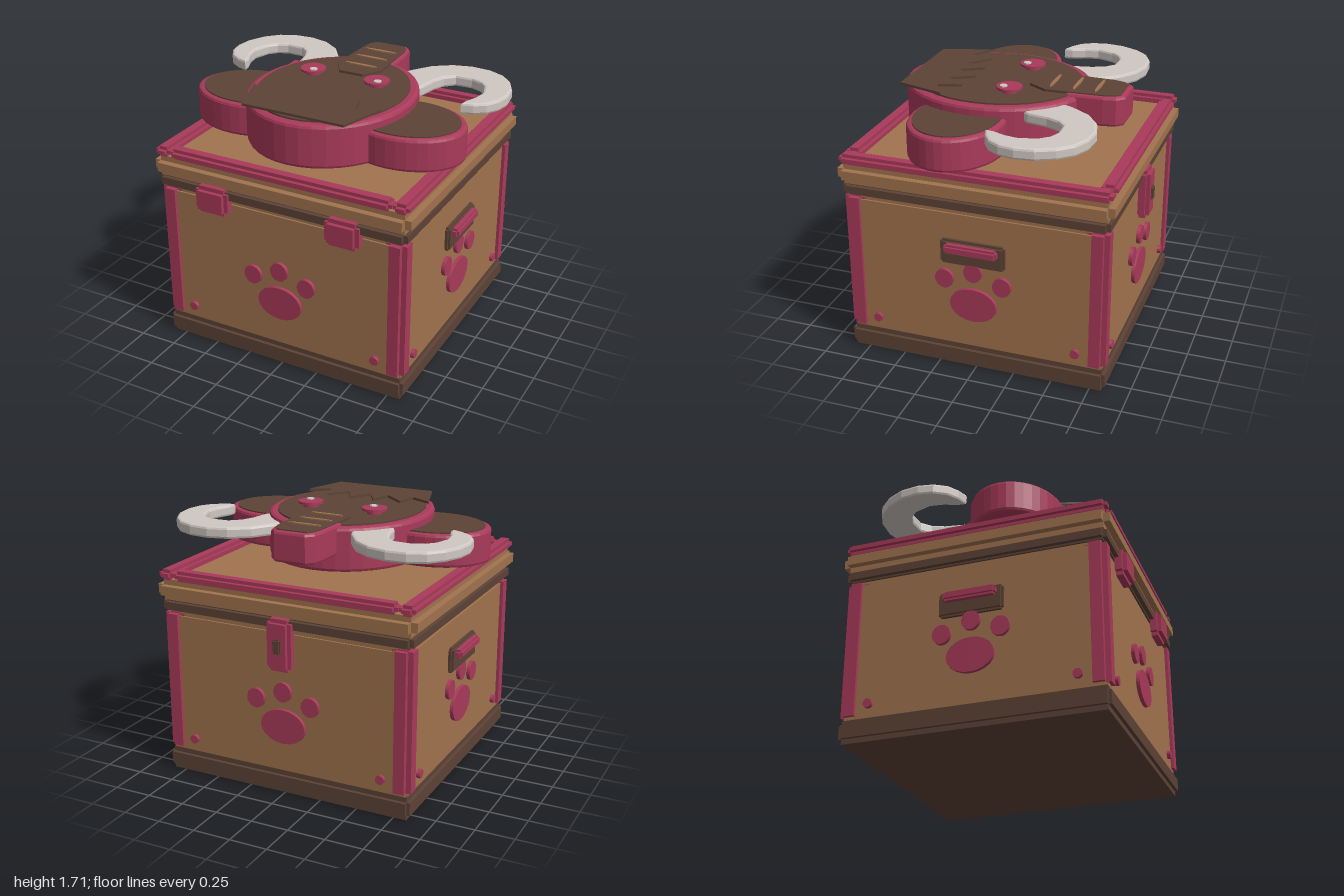
import * as THREE from 'three';

const mat = (name, color) => {
  const m = new THREE.MeshStandardMaterial({ color });
  m.name = name;
  return m;
};

export function createModel() {
  const tan = mat('tan wood', 0xa1734e);
  const dark = mat('dark brown', 0x5d4337);
  const red = mat('raspberry', 0xa93a5a);
  const ivory = mat('ivory', 0xcfc7c2);

  const model = new THREE.Group();
  model.name = 'chest';

  const add = (parent, name, geometry, material) => {
    const mesh = new THREE.Mesh(geometry, material);
    mesh.name = name;
    parent.add(mesh);
    return mesh;
  };

  // Block with stepped edges: three boxes, each full size along one axis
  const block = (parent, name, material, [w, h, d], [x, y, z], b, by = b) => {
    const g = new THREE.Group();
    g.name = name;
    g.position.set(x, y, z);
    const sizes = [
      [w, h - 2 * by, d - 2 * b],
      [w - 2 * b, h, d - 2 * b],
      [w - 2 * b, h - 2 * by, d],
    ];
    sizes.forEach((s, i) => add(g, name + 'Layer' + (i + 1), new THREE.BoxGeometry(...s), material));
    parent.add(g);
    return g;
  };

  // Horizontal slab from an outline of [x, z] points, between two heights
  const slab = (parent, name, material, points, y0, y1, bevel = 0) => {
    const shape = new THREE.Shape(points.map(([x, z]) => new THREE.Vector2(x, -z)));
    const geo = new THREE.ExtrudeGeometry(shape, {
      depth: y1 - y0 - 2 * bevel,
      bevelEnabled: bevel > 0,
      bevelThickness: bevel,
      bevelSize: bevel,
      bevelOffset: -bevel,
      bevelSegments: 2,
    });
    geo.rotateX(-Math.PI / 2).translate(0, y0 + bevel, 0);
    return add(parent, name, geo, material);
  };

  const ellipse = (cx, cz, rx, rz, n = 40) =>
    Array.from({ length: n }, (_, i) => {
      const a = (i / n) * Math.PI * 2;
      return [cx + rx * Math.cos(a), cz + rz * Math.sin(a)];
    });

  // The box itself is built around its own centre
  const box = new THREE.Group();
  box.name = 'box';
  box.position.z = 0.01;
  model.add(box);

  block(box, 'base', dark, [1.715, 0.152, 1.715], [0, 0.076, 0], 0.022, 0.033);
  block(box, 'body', tan, [1.67, 1.08, 1.67], [0, 0.56, 0], 0.012, 0.03);
  block(box, 'band', dark, [1.726, 0.075, 1.726], [0, 1.137, 0], 0.028, 0.012);
  block(box, 'lid', tan, [1.776, 0.135, 1.776], [0, 1.24, 0], 0.042, 0.037);

  for (const s of [-1, 1]) {
    // Corner posts
    for (const t of [-1, 1]) {
      block(box, 'cornerPost', red, [0.138, 0.925, 0.138], [s * 0.788, 0.628, t * 0.788], 0.033, 0.008);
    }
    // Lid rim
    block(box, 'sideRim', red, [0.105, 0.068, 1.745], [s * 0.822, 1.336, 0], 0.025, 0.022);
    block(box, 'endRim', red, [1.53, 0.068, 0.105], [0, 1.336, s * 0.822], 0.025, 0.022);
    // Side handles
    block(box, 'handlePlate', dark, [0.06, 0.165, 0.42], [s * 0.837, 0.818, 0], 0.014);
    block(box, 'handleBar', red, [0.075, 0.06, 0.345], [s * 0.872, 0.855, 0], 0.014);
    // Front hinges
    block(box, 'hinge', red, [0.23, 0.18, 0.1], [s * 0.455, 1.09, 0.857], 0.027);
  }

  // Back clasp and keyhole
  block(box, 'clasp', red, [0.166, 0.335, 0.09], [0, 1.007, -0.866], 0.025);
  block(box, 'keyhole', dark, [0.054, 0.095, 0.03], [0, 1.007, -0.911], 0.009);

  // Paw prints and rivets on all four walls
  const button = (parent, name, x, y, rx, ry) => {
    const geo = new THREE.CylinderGeometry(1, 1, 0.04, 20);
    geo.rotateX(Math.PI / 2).scale(rx, ry, 1).translate(x, y, 0.839);
    add(parent, name, geo, red);
  };
  for (let i = 0; i < 4; i++) {
    const wall = new THREE.Group();
    wall.name = 'wallDetails';
    wall.rotation.y = (i * Math.PI) / 2;
    button(wall, 'pawPad', 0, 0.46, 0.154, 0.114);
    button(wall, 'pawToe', 0, 0.69, 0.06, 0.064);
    for (const s of [-1, 1]) {
      button(wall, 'pawToe', s * 0.19, 0.622, 0.06, 0.064);
      button(wall, 'rivet', s * 0.664, 0.241, 0.029, 0.029);
    }
    box.add(wall);
  }

  // Animal head lying on the lid
  const head = new THREE.Group();
  head.name = 'headOrnament';
  model.add(head);

  slab(head, 'head', red, ellipse(0, 0.14, 0.53, 0.605), 1.372, 1.657, 0.022);
  slab(head, 'facePlate', dark, ellipse(0, 0.14, 0.473, 0.55), 1.65, 1.667);

  // Trunk, its top plate and the three wrinkles
  slab(head, 'trunk', red, [
    [-0.172, -0.36], [-0.165, -0.6], [-0.15, -0.68], [-0.105, -0.726],
    [0.105, -0.726], [0.15, -0.68], [0.165, -0.6], [0.172, -0.36],
  ], 1.48, 1.676, 0.018);
  slab(head, 'trunkPlate', dark, [
    [-0.085, -0.1], [-0.16, -0.22], [-0.145, -0.6], [-0.13, -0.66], [-0.1, -0.695],
    [0.1, -0.695], [0.13, -0.66], [0.145, -0.6], [0.16, -0.22], [0.085, -0.1],
  ], 1.667, 1.683);
  for (const z of [-0.535, -0.393, -0.242]) {
    slab(head, 'trunkWrinkle', tan, ellipse(0, z, 0.117, 0.012, 14), 1.683, 1.691);
  }

  // Jagged jaw
  slab(head, 'jaw', dark, [
    [-0.445, 0.365], [-0.305, 0.44], [-0.27, 0.295], [-0.13, 0.42], [-0.085, 0.272],
    [0, 0.42], [0.085, 0.272], [0.165, 0.42], [0.265, 0.292], [0.31, 0.44],
    [0.445, 0.367], [0.355, 0.675], [-0.345, 0.675],
  ], 1.672, 1.688);

  // Tusk outline, outer edge from root to tip, then back along the inner edge
  const tusk = [
    [0.2, -0.28], [0.27, -0.44], [0.36, -0.57], [0.48, -0.655], [0.61, -0.69],
    [0.74, -0.68], [0.85, -0.63], [0.93, -0.545], [0.985, -0.43], [1, -0.31],
    [0.98, -0.21], [0.93, -0.13], [0.86, -0.085], [0.785, -0.06],
    [0.79, -0.115], [0.825, -0.2], [0.84, -0.29], [0.805, -0.4], [0.76, -0.45],
    [0.69, -0.478], [0.58, -0.473], [0.52, -0.42], [0.485, -0.34], [0.46, -0.21], [0.4, -0.1],
  ];

  for (const s of [-1, 1]) {
    slab(head, 'ear', red, ellipse(s * 0.545, 0.21, 0.385, 0.3, 36), 1.372, 1.588, 0.02);
    slab(head, 'earPlate', dark, ellipse(s * 0.545, 0.21, 0.345, 0.268, 36), 1.58, 1.596);
    slab(head, 'tusk', ivory, tusk.map(([x, z]) => [s * x, z]), 1.56, 1.636, 0.016);
    // Eyes, both glints shifted the same way
    slab(head, 'eye', red, ellipse(s * 0.23, -0.013, 0.083, 0.083, 20), 1.69, 1.705);
    slab(head, 'eyeStem', red, ellipse(s * 0.23, -0.013, 0.05, 0.05, 16), 1.66, 1.692);
    slab(head, 'eyeGlint', ivory, ellipse(s * 0.23 + 0.02, 0.018, 0.026, 0.026, 8), 1.704, 1.712);
  }

  return model;
}
